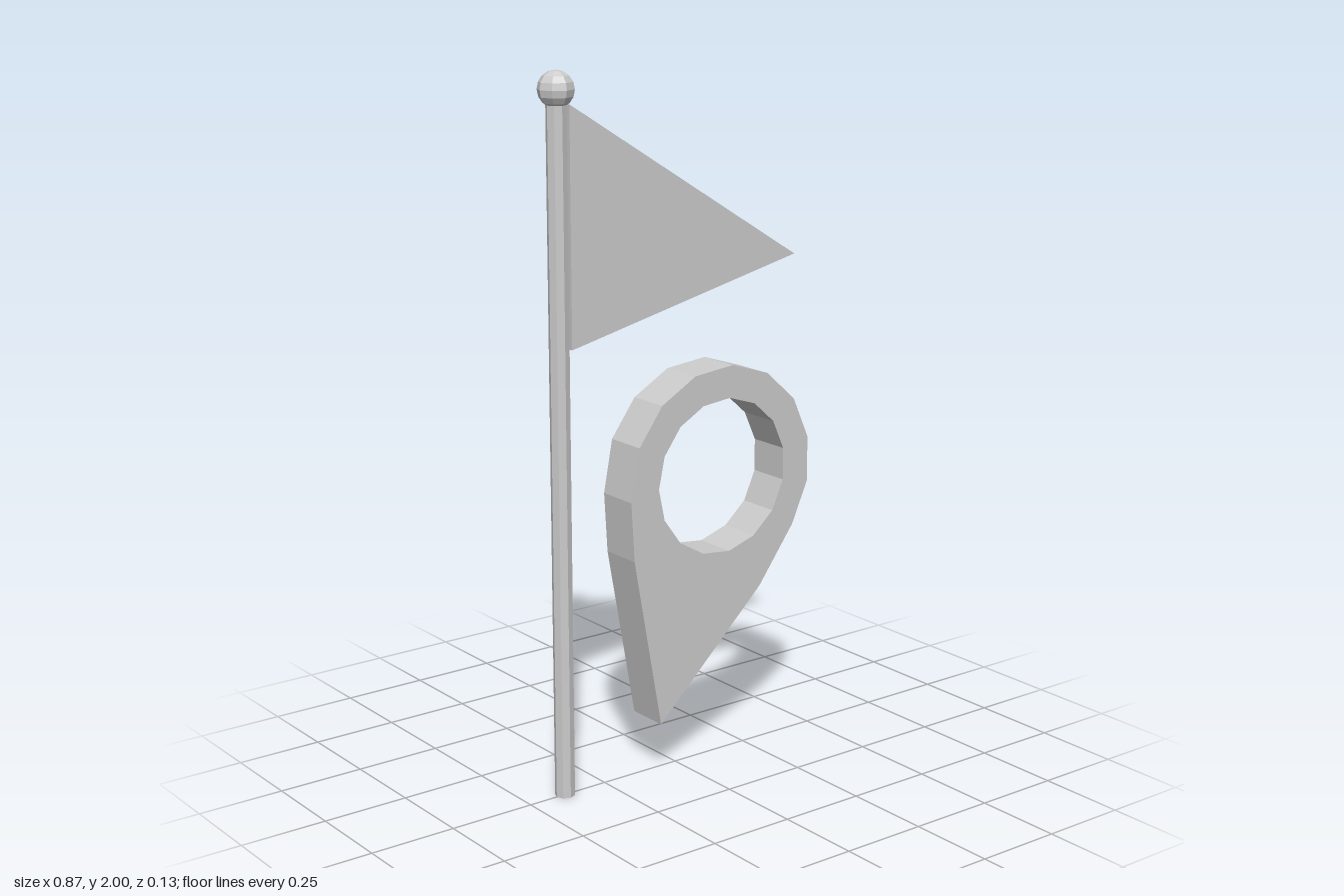
import * as THREE from 'three';

const material = new THREE.MeshStandardMaterial({ color: 0xcccccc, flatShading: true });

function addPart(group, name, geometry, x = 0, y = 0) {
  const mesh = new THREE.Mesh(geometry, material);
  mesh.name = name;
  mesh.position.set(x, y, 0);
  group.add(mesh);
}

// Flat plate extruded evenly to both sides of z = 0
function plate(shape, depth) {
  return new THREE.ExtrudeGeometry(shape, { depth, bevelEnabled: false }).translate(0, 0, -depth / 2);
}

// Points on a circle, 24 degrees apart
function arcPoints(cx, cy, radius, startDeg, count) {
  return Array.from({ length: count }, (_, i) => {
    const a = THREE.MathUtils.degToRad(startDeg + i * 24);
    return new THREE.Vector2(cx + radius * Math.cos(a), cy + radius * Math.sin(a));
  });
}

export function createModel() {
  const group = new THREE.Group();
  const poleX = -0.385;

  // Pole and its ball finial
  addPart(group, 'pole', new THREE.CylinderGeometry(0.028, 0.028, 1.93, 8), poleX, 0.965);
  addPart(group, 'finial', new THREE.SphereGeometry(0.05, 8, 8), poleX, 1.95);

  // Triangular pennant
  const pennant = new THREE.Shape([
    new THREE.Vector2(-0.362, 1.912),
    new THREE.Vector2(-0.362, 1.266),
    new THREE.Vector2(0.402, 1.442),
  ]);
  addPart(group, 'pennant', plate(pennant, 0.054));

  // Leaning teardrop marker: round head drawn out to a point, with a round hole
  const cx = 0.12, cy = 0.846;
  const marker = new THREE.Shape([
    new THREE.Vector2(-0.098, 0.158),
    new THREE.Vector2(0.257, 0.498),
    ...arcPoints(cx, cy, 0.317, -36, 9),
    new THREE.Vector2(-0.198, 0.825),
    new THREE.Vector2(-0.188, 0.655),
  ]);
  marker.holes.push(new THREE.Path(arcPoints(cx, cy, 0.224, 12, 15).reverse()));
  addPart(group, 'marker', plate(marker, 0.127));

  return group;
}
